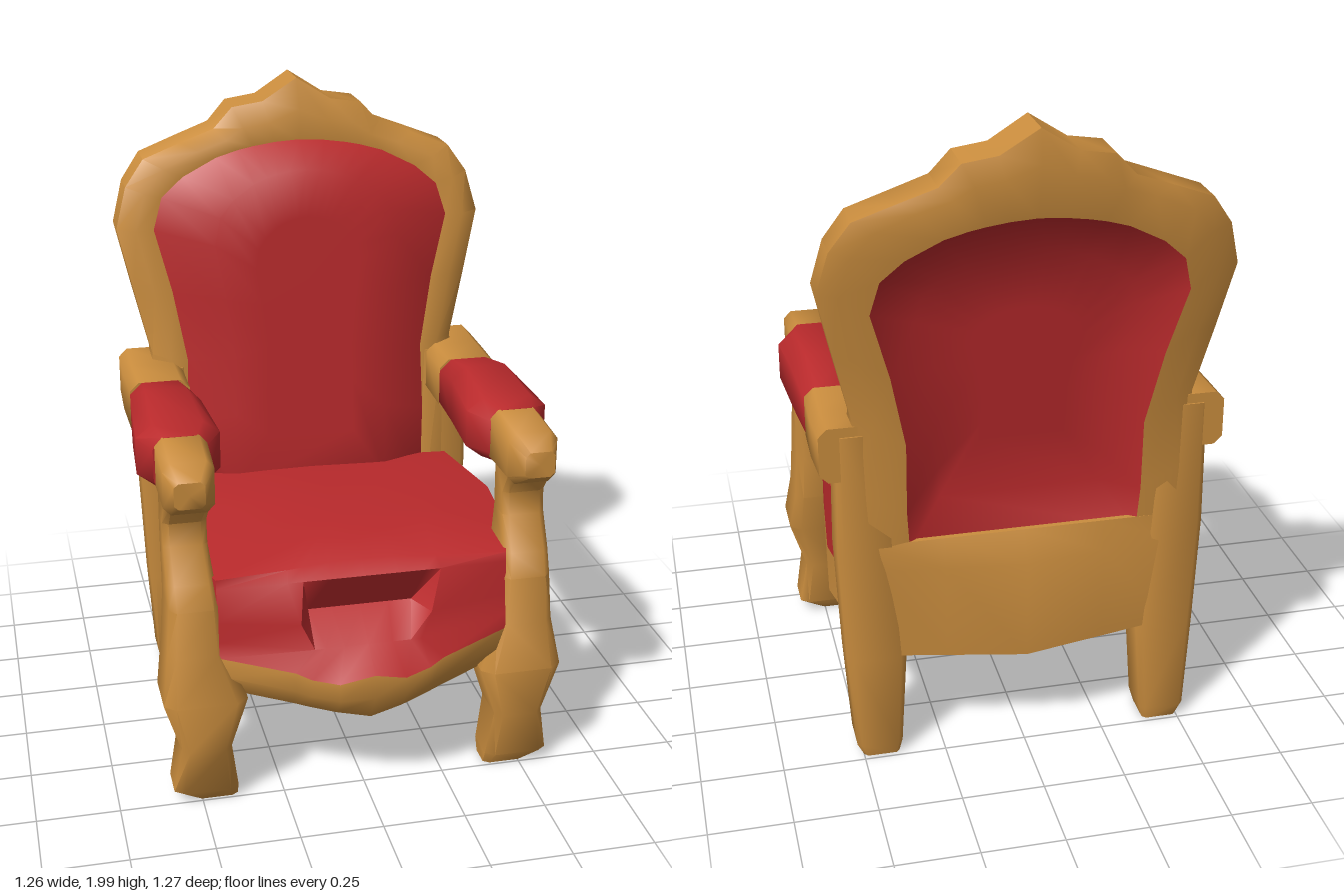
import * as THREE from 'three';
import { toCreasedNormals } from 'three/addons/utils/BufferGeometryUtils.js';

const gold = new THREE.MeshStandardMaterial({ color: 0xca8d3e });
gold.name = 'gilded wood';
const red = new THREE.MeshStandardMaterial({ color: 0xba2a2c, side: THREE.DoubleSide });
red.name = 'red upholstery';
const dark = new THREE.MeshStandardMaterial({ color: 0x412d11, side: THREE.DoubleSide });
dark.name = 'dark underside';

// Skin a list of equal-length point rings; ends may be closed with fans.
function loft(rings, capStart = true, capEnd = true, crease = 0.95) {
  const tris = [], n = rings[0].length;
  const mean = (pts) => [0, 1, 2].map((k) => pts.reduce((s, p) => s + p[k], 0) / pts.length);
  for (let i = 0; i + 1 < rings.length; i++) {
    for (let j = 0; j < n; j++) {
      const k = (j + 1) % n, a = rings[i][j], b = rings[i][k], c = rings[i + 1][k], d = rings[i + 1][j];
      tris.push([a, b, c], [a, c, d]);
    }
  }
  const fan = (ring, flip) => {
    const m = mean(ring);
    ring.forEach((p, j) => {
      const q = ring[(j + 1) % n];
      tris.push(flip ? [q, p, m] : [p, q, m]);
    });
  };
  if (capStart) fan(rings[0], true);
  if (capEnd) fan(rings[rings.length - 1], false);
  // Turn every face outward using the signed volume about the centre
  const o = new THREE.Vector3(...mean(rings.flat()));
  const v = (p) => new THREE.Vector3(...p).sub(o);
  const volume = tris.reduce((s, [a, b, c]) => s + v(a).dot(v(b).cross(v(c))), 0);
  const flat = tris.flatMap(([a, b, c]) => (volume < 0 ? [a, c, b] : [a, b, c])).flat();
  const g = new THREE.BufferGeometry();
  g.setAttribute('position', new THREE.Float32BufferAttribute(flat, 3));
  return toCreasedNormals(g, crease);
}

// Rectangle with cut corners
function octagon(u0, u1, v0, v1, c) {
  const a = (u1 - u0) * c, b = (v1 - v0) * c;
  return [[u0 + a, v0], [u1 - a, v0], [u1, v0 + b], [u1, v1 - b],
    [u1 - a, v1], [u0 + a, v1], [u0, v1 - b], [u0, v0 + b]];
}
// Rows are [y, x0, x1, z0, z1] for uprights and [z, x0, x1, y0, y1] for arms
const upright = (rows, s, c) => loft(rows.map(([y, ...r]) => octagon(...r, c).map(([x, z]) => [x * s, y, z])));
const along = (rows, s, c) => loft(rows.map(([z, ...r]) => octagon(...r, c).map(([x, y]) => [x * s, y, z])));

// Piecewise linear lookup in [key, value] pairs
function lookup(table, t) {
  for (let i = 1; i < table.length; i++) {
    const [a, va] = table[i - 1], [b, vb] = table[i];
    if (t <= b) return va + (vb - va) * Math.max(0, (t - a) / (b - a));
  }
  return table[table.length - 1][1];
}
const backFront = (y) => lookup([[0.6, -0.33], [1.1, -0.34], [1.55, -0.39], [1.8, -0.43]], y);
const backRear = (y) => lookup([[0.6, -0.475], [1.1, -0.49], [1.55, -0.55], [1.75, -0.59], [1.9, -0.625], [2, -0.635]], y);

// Half of the back frame: outer x, y and inner x, y, from bottom to crest
const frameHalf = [
  [0.53, 0.6, 0.40, 0.62], [0.53, 0.9, 0.40, 0.9], [0.50, 1.14, 0.39, 1.12], [0.55, 1.35, 0.43, 1.35],
  [0.595, 1.55, 0.48, 1.55], [0.56, 1.68, 0.45, 1.65], [0.50, 1.765, 0.38, 1.71], [0.38, 1.81, 0.27, 1.765],
  [0.27, 1.85, 0.2, 1.785], [0.21, 1.915, 0.15, 1.795], [0.11, 1.93, 0.08, 1.805], [0, 2.0, 0, 1.81],
];
const frame = [...frameHalf, ...frameHalf.slice(0, -1).reverse().map(([a, b, c, d]) => [-a, b, -c, d])];
const rearInner = (x, y) => [x * lookup([[0.7, 0.86], [1.6, 0.95]], y), Math.max(0.71, y - 0.06), backRear(y)];

// Half of the seat, front to back: x, then z and y for bottom, rail line and top
const seatHalf = [
  [0, 0.58, 0.285, 0.63, 0.45, 0.45, 0.745], [0.1, 0.56, 0.30, 0.61, 0.42, 0.455, 0.745],
  [0.18, 0.535, 0.315, 0.59, 0.435, 0.46, 0.74], [0.225, 0.52, 0.325, 0.575, 0.455, 0.462, 0.737],
  [0.44, 0.44, 0.36, 0.50, 0.49, 0.47, 0.73], [0.50, 0.30, 0.35, 0.31, 0.48, 0.30, 0.735],
  [0.53, 0, 0.32, 0, 0.48, 0, 0.735], [0.48, -0.33, 0.35, -0.33, 0.48, -0.33, 0.73],
  [0, -0.36, 0.35, -0.36, 0.48, -0.36, 0.74],
];
const seat = [...seatHalf, ...seatHalf.slice(1, -1).reverse().map(([x, ...r]) => [-x, ...r])];

// Cushion outline at height t
const cushionRing = (t) => seat.map(([x, , , zm, ym, zt, yt]) => [x, ym + (yt - ym) * t, zm + (zt - zm) * t]);
// The same with the middle of the front moved to a height and depth; notchZ presses its centre in
const shapedRing = (t, scale, y, z, notchZ = z) => cushionRing(t).map((p, i) => {
  const x = Math.abs(seat[i][0]);
  return x < 0.24 && p[2] > 0.3 ? [p[0] * scale, y, x < 0.2 ? notchZ : z] : p;
});
// Seat outline scaled inwards at height y
const inset = (k, y) => seat.map(([x, z]) => [x * k, y, 0.05 + (z - 0.05) * k]);

export function createModel() {
  const group = new THREE.Group();
  const add = (name, geometry, material) => {
    const mesh = new THREE.Mesh(geometry, material);
    mesh.name = name;
    group.add(mesh);
  };

  // Carved frame of the back with a soft ridge along its face
  add('backFrame', loft(frame.map(([ox, oy, ix, iy]) => {
    const zf = backFront(iy), zb = backRear(oy), mx = (ix + ox) / 2, my = (iy + oy) / 2;
    return [[ix, iy, zf], [mx, my, zf + 0.005], [ox, oy, zf - 0.035], [ox, oy, zb + 0.02],
      [mx, my, zb], rearInner(ix, iy)];
  })), gold);

  // Padded front of the back
  const toward = (k, y) => y + (1.25 - y) * k;
  const padRing = (k, kx) => frame.map(([, , x, y]) => {
    const py = toward(k, y);
    return [x * kx, py, -0.24 - 0.085 * (py - 0.75)];
  });
  add('backCushion', loft([
    frame.map(([, , x, y]) => [x, y, backFront(y)]),
    padRing(0.13, 0.62), padRing(0.4, 0.35),
  ], true, true, 1.2), red);

  // Hollow rear panel, leaning with the frame
  const hollowRing = (k, kx) => frame.map(([, , x, y]) => {
    const [px, py] = rearInner(x, y), hy = toward(k, py);
    return [px * kx, hy, -0.405 - 0.12 * (hy - 0.8)];
  });
  add('backPanel', loft([
    frame.map(([, , x, y]) => rearInner(x, y)), hollowRing(0.25, 0.7), hollowRing(0.6, 0.35),
  ], false, true, 1.3), red);

  // Rail below the rear panel, bowed backwards
  add('backRail', loft([-0.46, -0.24, 0, 0.24, 0.46].map((x) => {
    const b = 1 - Math.abs(x) / 0.46;
    return [[x, 0.36 - 0.03 * b, -0.36], [x, 0.36 - 0.03 * b, -0.47 - 0.05 * b],
      [x, 0.65, -0.475 - 0.055 * b], [x, 0.74, -0.478], [x, 0.74, -0.42]];
  })), gold);

  // Crowned seat cushion with a low front shelf and a notch above it
  add('seatCushion', loft([
    cushionRing(0), shapedRing(0.2, 0.72, 0.51, 0.545), shapedRing(0.45, 0.88, 0.585, 0.525, 0.43),
    shapedRing(0.88, 1.03, 0.71, 0.495), cushionRing(1), inset(0.55, 0.765),
  ], false, true, 0.8), red);
  // Seat rail, bowed below the cushion, and its underside
  add('seatRail', loft([
    inset(0.83, 0.37),
    seat.map(([x, z, y]) => [x, y, z]),
    seat.map(([x, zb, yb, zm, ym]) => [x, yb + (ym - yb) * 0.55, Math.max(zb, zm) + (zm > 0.4 ? 0.004 : 0)]),
    seat.map(([x, , , z, y]) => [x, y, z]),
  ], false, false), gold);
  add('seatUnderside', loft([inset(0.85, 0.37), inset(0.5, 0.41)], false, true), dark);

  for (const [side, s] of [['left', 1], ['right', -1]]) {
    // Rear leg running up into the back post
    add(side + 'RearLeg', upright([
      [0.01, 0.39, 0.50, -0.485, -0.37], [0.05, 0.38, 0.52, -0.49, -0.35], [0.35, 0.36, 0.54, -0.48, -0.34],
      [0.7, 0.38, 0.555, -0.48, -0.33], [1.1, 0.395, 0.55, -0.485, -0.335],
    ], s, 0.1), gold);
    // Front leg with knee, foot and arm support
    add(side + 'FrontLeg', upright([
      [0.01, 0.39, 0.52, 0.40, 0.49], [0.05, 0.39, 0.585, 0.375, 0.515], [0.2, 0.41, 0.56, 0.365, 0.535],
      [0.36, 0.36, 0.61, 0.34, 0.55], [0.5, 0.42, 0.59, 0.305, 0.505], [0.65, 0.43, 0.58, 0.30, 0.50],
      [0.72, 0.44, 0.58, 0.30, 0.47], [0.82, 0.45, 0.58, 0.30, 0.41], [0.89, 0.45, 0.58, 0.30, 0.40],
      [0.99, 0.445, 0.58, 0.30, 0.49],
    ], s, 0.14), gold);
    // Arm: gilded rear, padded middle and gilded hand rest
    add(side + 'ArmRear', along([
      [-0.48, 0.43, 0.60, 0.96, 1.13], [-0.33, 0.41, 0.605, 0.95, 1.12], [-0.17, 0.41, 0.60, 0.94, 1.12],
    ], s, 0.15), gold);
    add(side + 'ArmPad', along([
      [-0.17, 0.41, 0.60, 0.94, 1.12], [0, 0.40, 0.615, 0.935, 1.155],
      [0.23, 0.38, 0.63, 0.945, 1.135], [0.315, 0.43, 0.59, 0.955, 1.125],
    ], s, 0.2), red);
    add(side + 'HandRest', along([
      [0.31, 0.43, 0.585, 0.95, 1.125], [0.47, 0.435, 0.585, 0.95, 1.11], [0.53, 0.47, 0.56, 0.99, 1.07],
    ], s, 0.15), gold);
  }
  return group;
}
